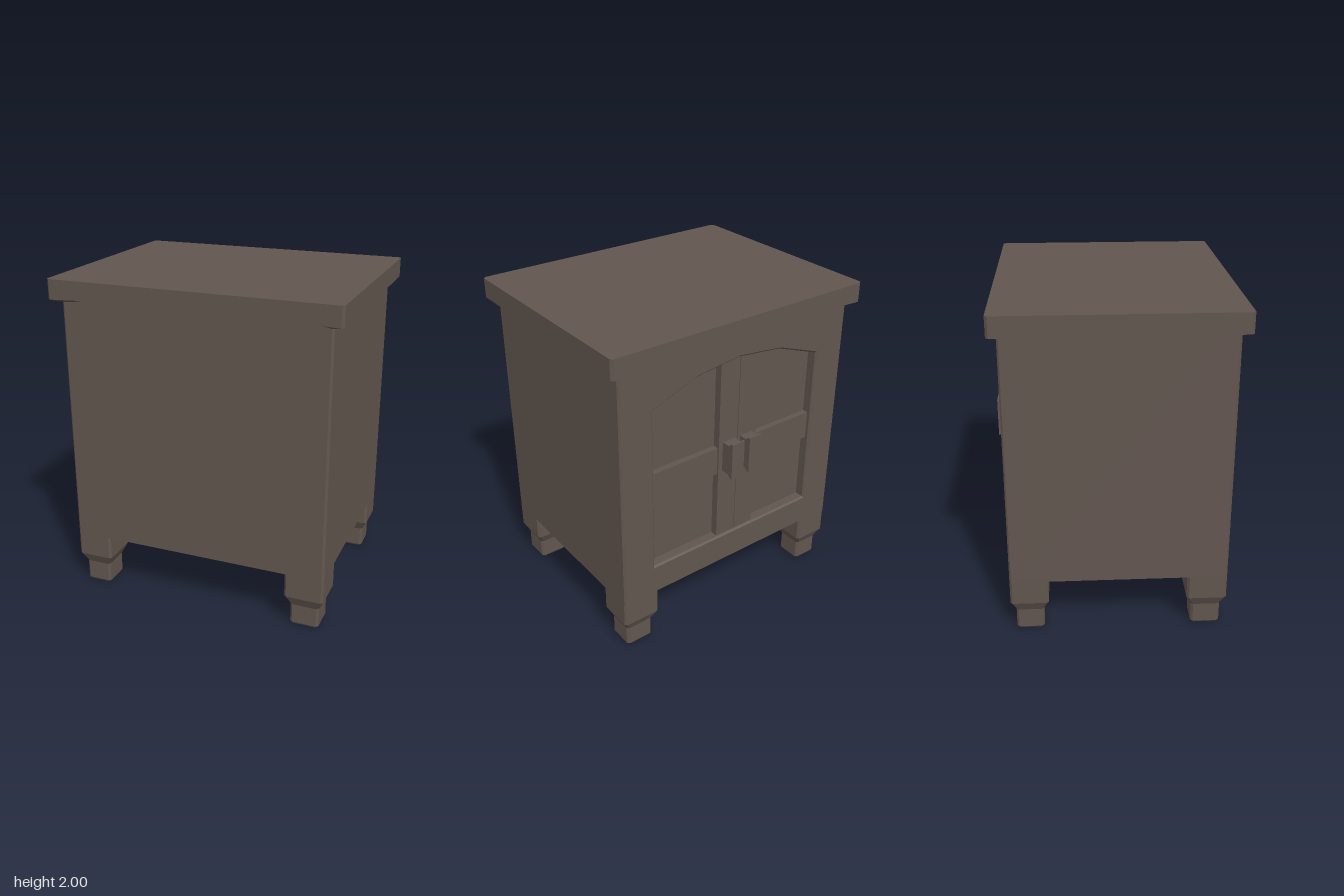
import * as THREE from 'three';

const wood = new THREE.MeshStandardMaterial({ color: 0x62564f, flatShading: true });

// Rectangle with chamfered corners as a loop of [x, y, z], counterclockwise from above
function ring(x0, x1, z0, z1, y, c = 0.014) {
  return [
    [x1 - c, z1], [x1, z1 - c], [x1, z0 + c], [x1 - c, z0],
    [x0 + c, z0], [x0, z0 + c], [x0, z1 - c], [x0 + c, z1],
  ].map(([x, z]) => [x, y, z]);
}

// Skin through equal-length loops from bottom to top, with optional bottom cap
function loft(rings, capBottom = true) {
  const pos = [];
  const tri = (a, b, c) => pos.push(...a, ...b, ...c);
  const n = rings[0].length;
  for (let r = 0; r < rings.length - 1; r++) {
    const a = rings[r], b = rings[r + 1];
    for (let i = 0; i < n; i++) {
      const j = (i + 1) % n;
      tri(a[i], a[j], b[j]);
      tri(a[i], b[j], b[i]);
    }
  }
  const bottom = rings[0], top = rings[rings.length - 1];
  for (let i = 1; i < n - 1; i++) {
    if (capBottom) tri(bottom[0], bottom[i + 1], bottom[i]);
    tri(top[0], top[i], top[i + 1]);
  }
  const g = new THREE.BufferGeometry();
  g.setAttribute('position', new THREE.Float32BufferAttribute(pos, 3));
  g.computeVertexNormals();
  return g;
}

function box(x0, x1, y0, y1, z0, z1) {
  return new THREE.BoxGeometry(x1 - x0, y1 - y0, z1 - z0)
    .translate((x0 + x1) / 2, (y0 + y1) / 2, (z0 + z1) / 2);
}

// Table top loop: long edges carry the arch stations, corners are chamfered
function topLoop(hx, z0, z1, heights) {
  const c = 0.015, [yCorner, yMid, yArch] = heights;
  const front = [[-hx + c, yCorner], [-0.65, yMid], [-0.33, yArch], [0.33, yArch], [0.65, yMid], [hx - c, yCorner]];
  const back = front.slice().reverse();
  return [
    ...front.map(([x, y]) => [x, y, z1]),
    [hx, yCorner, z1 - c], [hx, yCorner, z0 + c],
    ...back.map(([x, y]) => [x, y, z0]),
    [-hx, yCorner, z0 + c], [-hx, yCorner, z1 - c],
  ];
}

export function createModel() {
  const model = new THREE.Group();
  const add = (name, geometry, parent = model) => {
    const m = new THREE.Mesh(geometry, wood);
    m.name = name;
    parent.add(m);
    return m;
  };

  // Cabinet body; its rear face is the recessed door panel
  add('body', loft([
    ring(-0.817, 0.817, -0.575, 0.66, 0.35),
    ring(-0.817, 0.817, -0.575, 0.66, 1.96),
  ]));

  // Overhanging top with arched lower edge front and back
  add('top', loft([
    topLoop(0.8, -0.625, 0.645, [1.855, 1.88, 1.937]),
    topLoop(0.88, -0.69, 0.71, [1.88, 1.89, 1.94]),
    topLoop(0.88, -0.69, 0.71, [2, 2, 2]),
  ], false));

  // Door frame with arched opening
  const frame = new THREE.Shape([
    [-0.817, 0.35], [0.817, 0.35], [0.817, 1.96], [-0.817, 1.96],
  ].map(p => new THREE.Vector2(...p)));
  frame.holes.push(new THREE.Path([
    [-0.6, 0.55], [-0.6, 1.6], [-0.3, 1.71], [0, 1.745], [0.3, 1.71], [0.6, 1.6], [0.6, 0.55],
  ].map(p => new THREE.Vector2(...p))));
  add('doorFrame', new THREE.ExtrudeGeometry(frame, {
    depth: 0.07, bevelEnabled: true, bevelThickness: 0.01, bevelSize: 0.01, bevelOffset: -0.01, bevelSegments: 1,
  }).translate(0, 0, -0.63));

  // Two doors: meeting stile, cross rail and flared handle each
  const grip = new THREE.Shape([
    [0.6, 1.02], [0.675, 1.02], [0.695, 1.0], [0.71, 1.0],
    [0.71, 1.235], [0.695, 1.235], [0.675, 1.215], [0.6, 1.215],
  ].map(p => new THREE.Vector2(...p)));
  const seam = -0.018;
  for (const [side, s] of [['left', 1], ['right', -1]]) {
    const door = new THREE.Group();
    door.name = side + 'Door';
    model.add(door);
    const span = (a, b) => [seam + s * a, seam + s * b].sort((p, q) => p - q);
    add(side + 'Stile', box(...span(0.002, 0.14), 0.54, 1.735, -0.622, -0.57), door);
    add(side + 'Rail', box(...span(0.13, 0.61), 1.0, 1.18, -0.612, -0.57), door);
    add(side + 'Handle', new THREE.ExtrudeGeometry(grip, { depth: 0.09, bevelEnabled: false })
      .rotateY(Math.PI / 2).translate(span(0.02, 0.11)[0], 0, 0), door);
  }

  // Four legs stepping in to smaller feet
  for (const s of [1, -1]) {
    for (const [end, z0, z1] of [['front', 0.42, 0.66], ['back', -0.64, -0.41]]) {
      const section = (inset, y) => {
        const [a, b] = s > 0 ? [0.575, 0.817] : [-0.817, -0.59];
        return ring(a + inset, b - inset, z0 + inset, z1 - inset, y);
      };
      add(end + (s > 0 ? 'Left' : 'Right') + 'Leg', loft([
        section(0.04, 0), section(0.032, 0.012), section(0.032, 0.135), section(0, 0.2), section(0, 0.36),
      ]));
    }
  }
  return model;
}
